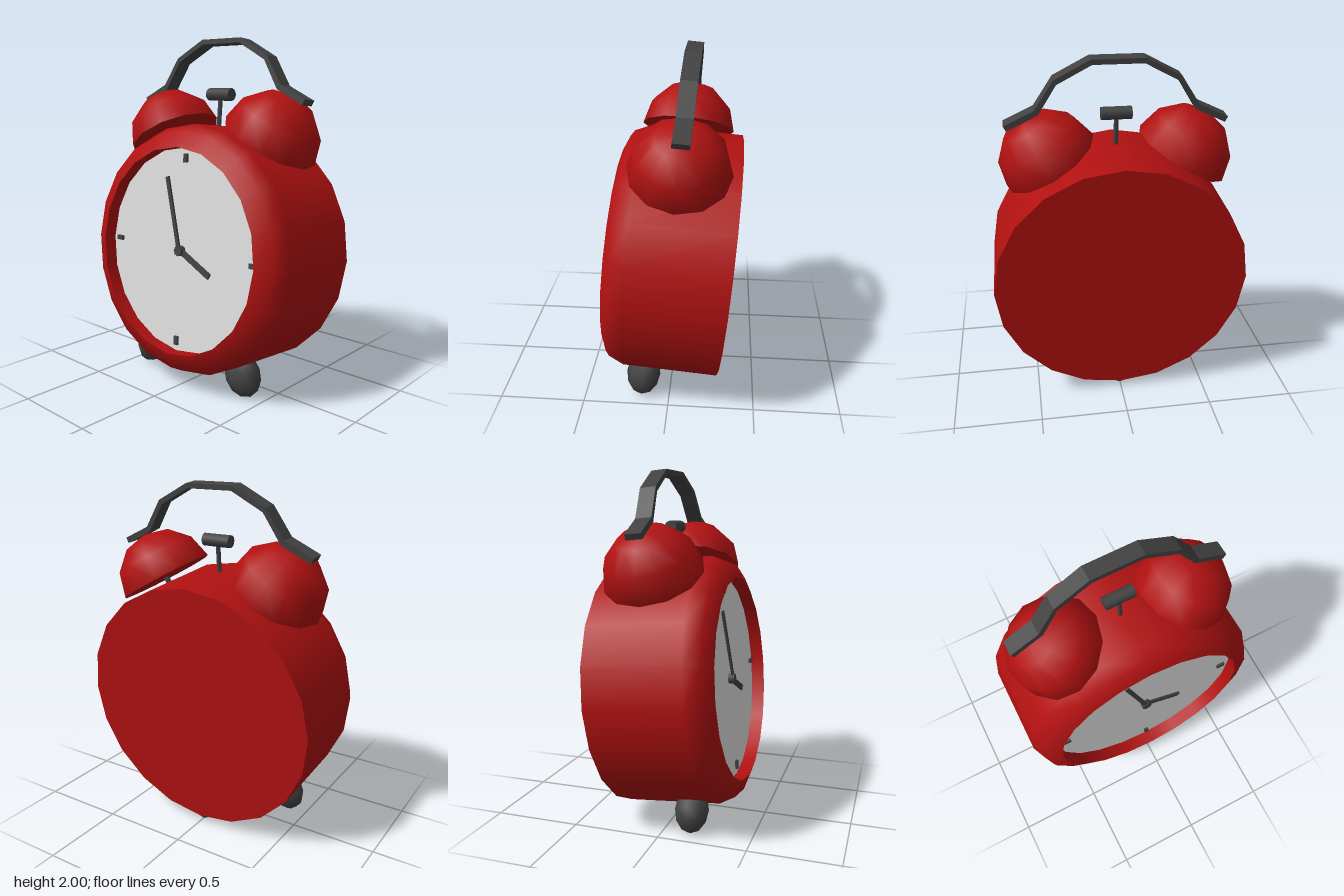
import * as THREE from 'three';
import { mergeGeometries } from 'three/addons/utils/BufferGeometryUtils.js';

const red = new THREE.MeshStandardMaterial({ color: 0xb11111 });
red.name = 'red enamel';
const dark = new THREE.MeshStandardMaterial({ color: 0x424242 });
dark.name = 'dark metal';
const pale = new THREE.MeshStandardMaterial({ color: 0xdedede });
pale.name = 'pale dial';

function add(parent, name, geometry, material, x = 0, y = 0, z = 0) {
  const mesh = new THREE.Mesh(geometry, material);
  mesh.name = name;
  mesh.position.set(x, y, z);
  parent.add(mesh);
  return mesh;
}

// Round profile (radius, depth) turned about the z axis
const turned = (points) =>
  new THREE.LatheGeometry(points.map(([r, d]) => new THREE.Vector2(r, d)), 20).rotateX(Math.PI / 2);

export function createModel() {
  const model = new THREE.Group();
  model.name = 'alarmClock';

  // Everything but the rear foot leans back slightly
  const clock = new THREE.Group();
  clock.name = 'clock';
  clock.position.set(0, 0.79, 0.01);
  clock.rotation.x = -0.087;
  model.add(clock);

  // Case: back plate, rounded shell, and recess wall, with sharp edges between
  const caseGeometry = mergeGeometries([
    turned([[0, -0.34], [0.72, -0.34]]),
    turned([[0.72, -0.34], [0.72, 0.21], [0.68, 0.3], [0.587, 0.34]]),
    turned([[0.587, 0.34], [0.587, 0.26]]),
  ]);
  add(clock, 'case', caseGeometry, red);

  // Dial with quarter markers
  add(clock, 'dial', new THREE.CircleGeometry(0.587, 20), pale, 0, 0, 0.26);
  for (let i = 0; i < 4; i++) {
    const a = (i * Math.PI) / 2;
    const marker = add(clock, 'hourMarker', new THREE.BoxGeometry(0.05, 0.027, 0.016), dark,
      0.527 * Math.cos(a), 0.527 * Math.sin(a), 0.266);
    marker.rotation.z = a;
  }

  // Hands and hub
  const hand = (name, length, width, angle, z) => {
    const geometry = new THREE.BoxGeometry(width, length, 0.012).translate(0, length / 2 - 0.01, 0);
    add(clock, name, geometry, dark, 0, 0, z).rotation.z = angle;
  };
  hand('minuteHand', 0.44, 0.024, 0.285, 0.284);
  hand('hourHand', 0.265, 0.034, -2.017, 0.272);
  add(clock, 'handHub', new THREE.CylinderGeometry(0.03, 0.03, 0.035, 8).rotateX(Math.PI / 2), dark, 0, 0, 0.277);

  // Bells, their posts and the front feet, mirrored
  for (const side of [1, -1]) {
    const bell = new THREE.Group();
    bell.name = side > 0 ? 'leftBell' : 'rightBell';
    bell.position.set(side * 0.37, 0.65, -0.01);
    bell.rotation.z = -side * Math.PI / 6;
    clock.add(bell);
    const dome = mergeGeometries([
      new THREE.SphereGeometry(0.28, 12, 3, 0, Math.PI * 2, 0, Math.PI / 2),
      new THREE.CircleGeometry(0.28, 12).rotateX(Math.PI / 2),
    ]);
    add(bell, 'bellDome', dome, red);
    add(bell, 'bellPost', new THREE.CylinderGeometry(0.016, 0.016, 0.12, 8), dark, 0, -0.04, 0);

    const foot = add(clock, side > 0 ? 'leftFoot' : 'rightFoot',
      new THREE.SphereGeometry(0.1, 8, 6).scale(1, 1.3, 1), dark, side * 0.365, -0.665, 0.088);
    foot.rotation.z = side * Math.PI / 6;
  }

  // Hammer between the bells
  add(clock, 'hammerStem', new THREE.CylinderGeometry(0.013, 0.013, 0.2, 8), dark, 0, 0.79, 0.005);
  add(clock, 'hammerHead', new THREE.CylinderGeometry(0.036, 0.036, 0.17, 12).rotateZ(Math.PI / 2), dark, 0, 0.9, 0.005);

  // Carrying handle: a bent flat strip
  const outer = [[0.61, 0.875], [0.445, 0.953], [0.34, 1.113], [0.145, 1.215]];
  const inner = [[0.595, 0.845], [0.425, 0.927], [0.325, 1.088], [0.138, 1.187]];
  const mirrored = (points) => points.map(([x, y]) => [-x, y]).reverse();
  const outline = [...outer, ...mirrored(outer), ...mirrored(inner).reverse(), ...[...inner].reverse()];
  const strip = new THREE.Shape(outline.map(([x, y]) => new THREE.Vector2(x, y)));
  add(clock, 'handle', new THREE.ExtrudeGeometry(strip, { depth: 0.09, bevelEnabled: false }), dark, 0, 0, -0.057);

  // Small rear foot
  add(model, 'rearFoot', new THREE.SphereGeometry(0.055, 8, 6), dark, 0, 0.062, -0.21);

  return model;
}
